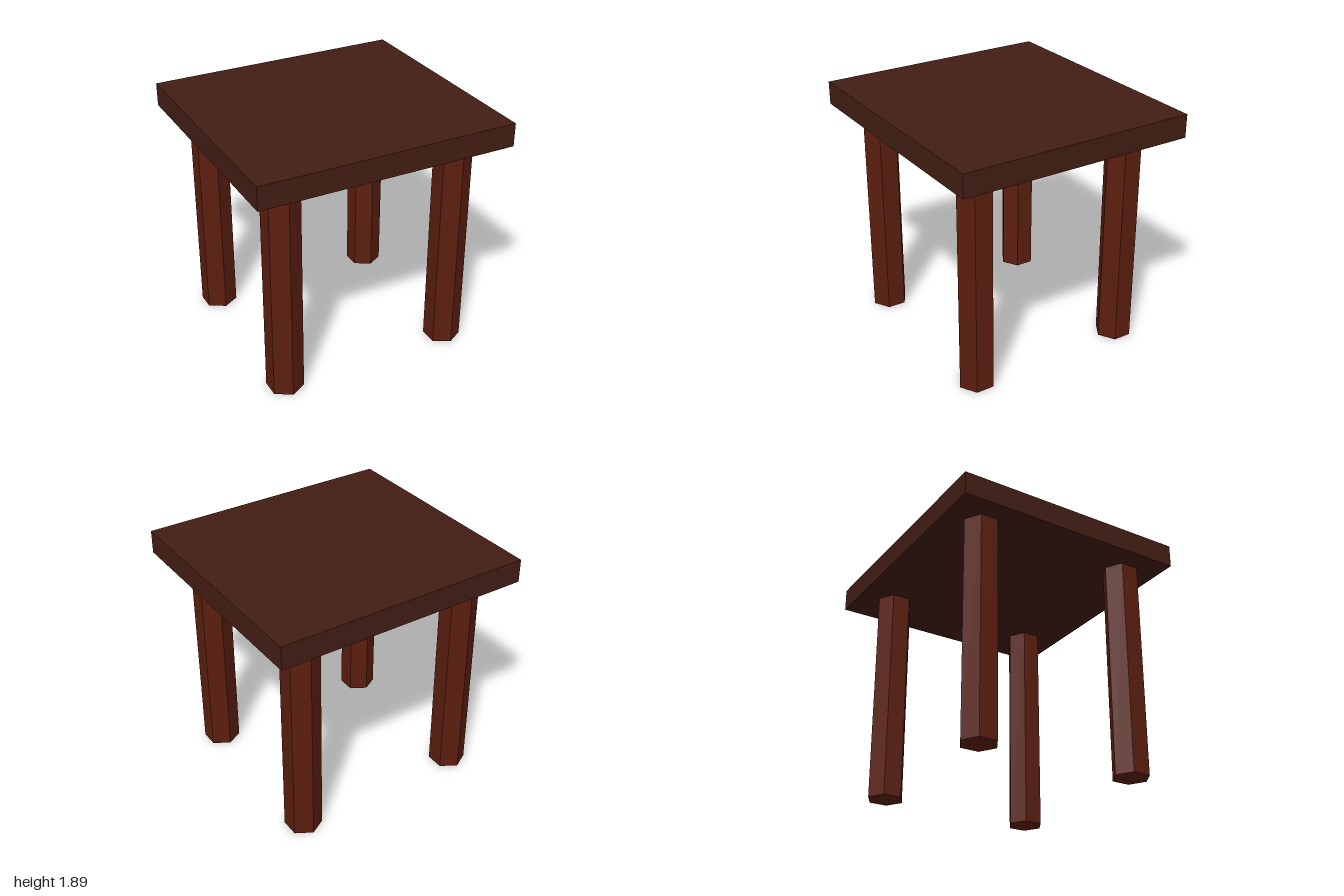
import * as THREE from 'three';

export function createModel() {
  const table = new THREE.Group();
  table.name = 'table';

  const topWood = new THREE.MeshStandardMaterial({ color: 0x431e14, flatShading: true });
  const legWood = new THREE.MeshStandardMaterial({ color: 0x5c1e0f, flatShading: true });

  const legHeight = 1.71;
  const topThickness = 0.18;

  // Slab top
  const top = new THREE.Mesh(new THREE.BoxGeometry(2, topThickness, 1.856), topWood);
  top.name = 'tableTop';
  top.position.y = legHeight + topThickness / 2;
  table.add(top);

  // Four hexagonal legs, corners pointing to front and back, set slightly off centre
  const legGeometry = new THREE.CylinderGeometry(0.142, 0.142, legHeight, 6);
  for (const [sideName, x] of [['Left', 0.675], ['Right', -0.712]]) {
    for (const [endName, z] of [['front', 0.65], ['back', -0.626]]) {
      const leg = new THREE.Mesh(legGeometry, legWood);
      leg.name = `${endName}${sideName}Leg`;
      leg.position.set(x, legHeight / 2, z);
      table.add(leg);
    }
  }

  return table;
}
